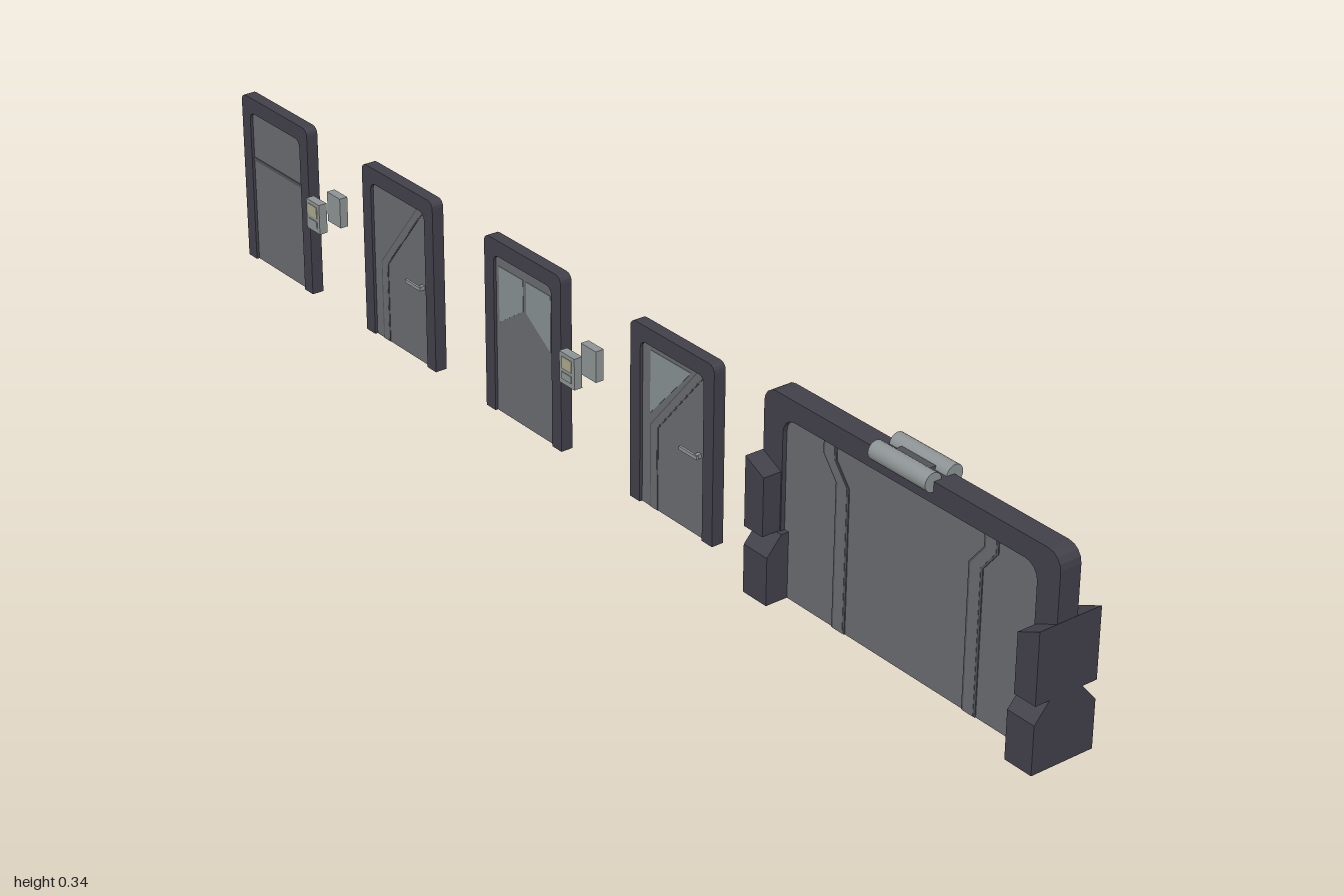
import * as THREE from 'three';

const mat = (name, color) => {
  const m = new THREE.MeshStandardMaterial({ color });
  m.name = name;
  return m;
};

export function createModel() {
  const frameMat = mat('dark frame', 0x41404a);
  const panelMat = mat('grey panel', 0x686b6f);
  const seamMat = mat('seam grey', 0x505257);
  const glassMat = mat('window glass', 0x878f92);
  const metalMat = mat('light metal', 0x8d9394);
  const screenMat = mat('pad screen', 0xaaa888);

  const root = new THREE.Group();
  root.name = 'doorSet';

  const add = (parent, name, geo, material, x = 0, y = 0, z = 0) => {
    const mesh = new THREE.Mesh(geo, material);
    mesh.name = name;
    mesh.position.set(x, y, z);
    parent.add(mesh);
    return mesh;
  };
  const box = (parent, name, w, h, d, material, x, y, z) =>
    add(parent, name, new THREE.BoxGeometry(w, h, d), material, x, y, z);
  // Extrusion centred on z, so that its relief shows on both faces
  const slab = (parent, name, shape, depth, material) => {
    const geo = new THREE.ExtrudeGeometry(shape, { depth, bevelEnabled: false, curveSegments: 4 });
    return add(parent, name, geo.translate(0, 0, -depth / 2), material);
  };
  const poly = (pts) => new THREE.Shape(pts.map(([x, y]) => new THREE.Vector2(x, y)));
  // Vertical-ish ribbon along a bent line
  const ribbon = (pts, w) => poly([
    ...pts.map(([x, y]) => [x - w / 2, y]),
    ...[...pts].reverse().map(([x, y]) => [x + w / 2, y]),
  ]);
  // Points of an upright opening with rounded top corners, bottom left to bottom right
  const arch = (hw, h, r) => {
    const pts = [[-hw, 0]];
    for (const side of [-1, 1]) {
      for (let i = 0; i <= 4; i++) {
        const a = (side < 0 ? i : 4 - i) / 4 * Math.PI / 2;
        pts.push([side * (hw - r + r * Math.cos(a)), h - r + r * Math.sin(a)]);
      }
    }
    pts.push([hw, 0]);
    return pts;
  };
  const frameAndPanel = (g, hw, h, r, inHw, inH, inR, depth, panelDepth) => {
    const outer = arch(hw, h, r), inner = arch(inHw, inH, inR);
    slab(g, 'frame', poly([...outer, ...inner.reverse()]), depth, frameMat);
    slab(g, 'panel', poly(inner), panelDepth, panelMat);
  };
  const group = (name, x, z = 0) => {
    const g = new THREE.Group();
    g.name = name;
    g.position.set(x, 0, z);
    root.add(g);
    return g;
  };

  // Single doors
  const door = (name, x) => {
    const g = group(name, x, 0.001);
    frameAndPanel(g, 0.099, 0.3, 0.012, 0.075, 0.273, 0.012, 0.021, 0.011);
    return g;
  };
  const pads = (name, x) => {
    const g = group(name, x);
    for (const s of [-1, 1]) {
      box(g, 'padBody', 0.038, 0.053, 0.015, metalMat, 0, 0.162, s * 0.0205);
      box(g, 'padScreen', 0.024, 0.02, 0.002, screenMat, 0, 0.172, s * 0.0283);
      box(g, 'padKeys', 0.024, 0.012, 0.002, metalMat, 0, 0.15, s * 0.0283);
    }
  };
  const handles = (g) => {
    for (const s of [-1, 1]) {
      box(g, 'handleLever', 0.042, 0.006, 0.004, metalMat, 0.046, 0.137, s * 0.014);
      box(g, 'handleStem', 0.007, 0.007, 0.01, metalMat, 0.062, 0.137, s * 0.009);
    }
  };
  const bentSeam = (g, top) => {
    const line = (dx) => [[-0.046 + dx, 0], [-0.046 + dx, 0.14], [top + dx, 0.273]];
    slab(g, 'seamStrip', ribbon(line(0), 0.014), 0.013, panelMat);
    for (const dx of [-0.008, 0.008]) slab(g, 'seamLine', ribbon(line(dx), 0.003), 0.0125, seamMat);
  };

  const split = door('splitPanelDoor', -0.901);
  box(split, 'crossSeam', 0.15, 0.006, 0.0135, seamMat, 0, 0.187, 0);
  pads('padsLeftmost', -0.766);

  const bent = door('bentSeamDoor', -0.541);
  bentSeam(bent, 0.06);
  handles(bent);

  const twin = door('twinWindowDoor', -0.203);
  for (const s of [-1, 1]) {
    const pane = [[0.004, 0.2], [0.067, 0.157], [0.067, 0.254], [0.004, 0.254]].map(([x, y]) => [s * x, y]);
    slab(twin, 'windowPane', poly(pane), 0.0125, glassMat);
  }
  pads('padsMiddle', -0.067);

  const corner = door('cornerWindowDoor', 0.168);
  bentSeam(corner, 0.065);
  slab(corner, 'cornerWindow', poly([[-0.056, 0.158], [0.04, 0.263], [-0.056, 0.263]]), 0.0125, glassMat);
  handles(corner);

  // Wide gate
  const gate = group('wideGate', 0.697);
  const leaf = new THREE.Group();
  leaf.name = 'gateLeaf';
  leaf.position.z = 0.0055;
  gate.add(leaf);
  frameAndPanel(leaf, 0.302, 0.328, 0.025, 0.26, 0.294, 0.025, 0.037, 0.022);
  for (const s of [-1, 1]) {
    const line = (dx) => [[s * 0.137 + dx, 0], [s * 0.137 + dx, 0.235], [s * 0.165 + dx, 0.27], [s * 0.165 + dx, 0.294]];
    slab(leaf, 'gateSeamStrip', ribbon(line(0), 0.02), 0.026, panelMat);
    for (const dx of [-0.012, 0.012]) slab(leaf, 'gateSeamLine', ribbon(line(dx), 0.004), 0.025, seamMat);

    // Side blocks: sloped upper block above a chamfered foot
    const upper = poly([[s * 0.303, 0.109], [s * 0.262, 0.109], [s * 0.262, 0.205], [s * 0.303, 0.224]]);
    slab(gate, 'upperBlock', upper, 0.112, frameMat);
    const foot = new THREE.ExtrudeGeometry(
      poly([[-0.056, 0], [0.056, 0], [0.056, 0.079], [0.03, 0.109], [-0.03, 0.109], [-0.056, 0.079]]),
      { depth: 0.052, bevelEnabled: false });
    foot.translate(0, 0, -0.026).rotateY(Math.PI / 2);
    add(gate, 'footBlock', foot, frameMat, s * 0.277);

    // Lamp rolls on the top edge
    const roll = new THREE.CylinderGeometry(0.015, 0.015, 0.117, 20).rotateZ(Math.PI / 2);
    add(leaf, 'topRoll', roll, metalMat, -0.004, 0.327, s * 0.0195);
  }
  box(leaf, 'rollBridge', 0.07, 0.006, 0.03, seamMat, -0.004, 0.331, 0);

  return root;
}
